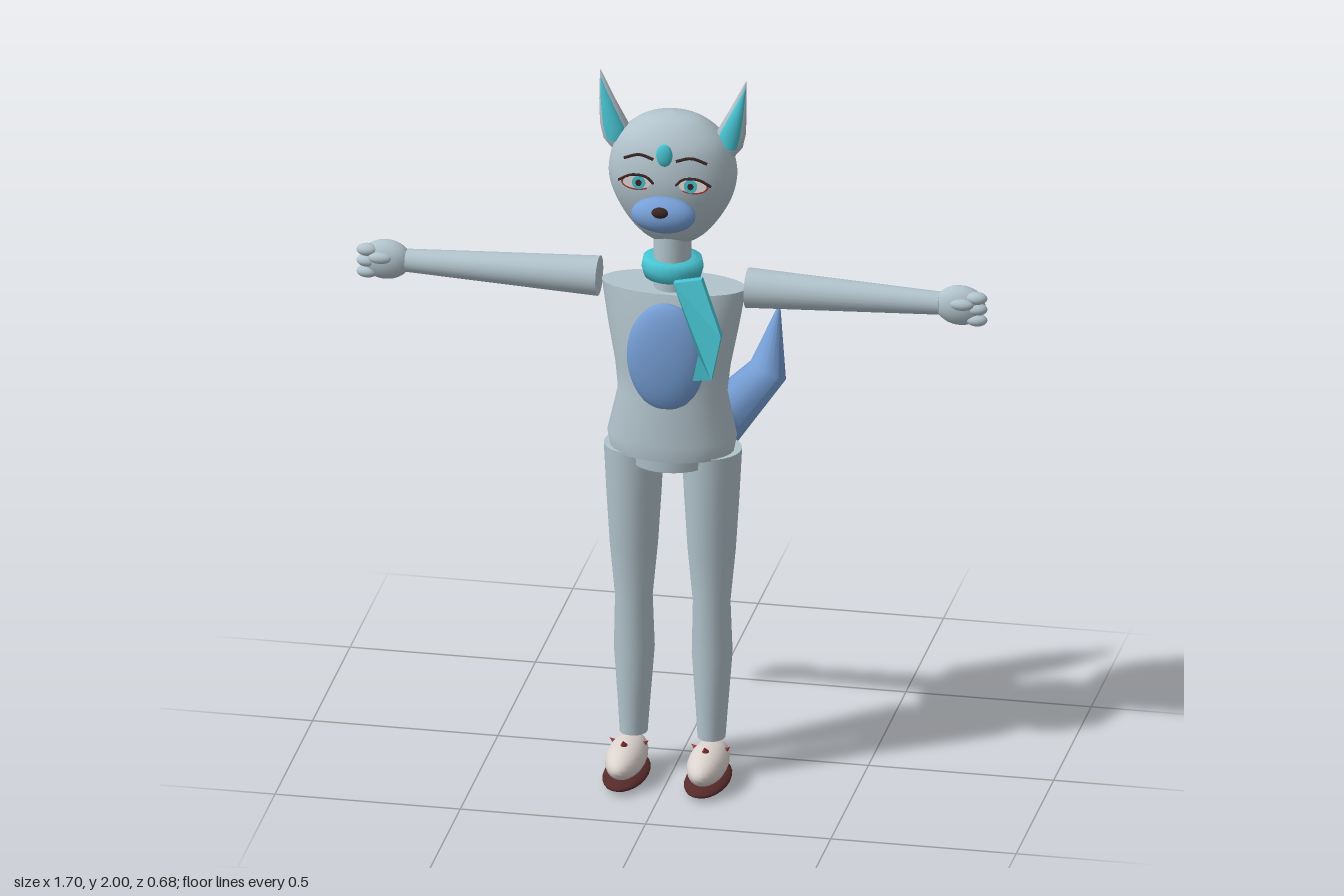
import * as THREE from 'three';

const mat = (name, color) => {
  const m = new THREE.MeshStandardMaterial({ color });
  m.name = name;
  return m;
};

export function createModel() {
  const fur = mat('grey fur', 0xb2c3cc);
  const blue = mat('blue fur', 0x769fd6);
  const teal = mat('teal', 0x48c4d2);
  const cream = mat('shoe cream', 0xdcd3ce);
  const sole = mat('dark sole', 0x562a2a);
  const red = mat('red trim', 0xa03a3a);
  const dark = mat('dark brown', 0x3a2626);
  const white = mat('eye white', 0xeee6e4);

  const model = new THREE.Group();
  model.name = 'standingFox';

  const add = (name, geometry, material, x = 0, y = 0, z = 0, parent = model) => {
    const mesh = new THREE.Mesh(geometry, material);
    mesh.name = name;
    mesh.position.set(x, y, z);
    parent.add(mesh);
    return mesh;
  };
  const ellipsoid = (rx, ry, rz) => new THREE.SphereGeometry(1, 24, 16).scale(rx, ry, rz);
  const disc = (rx, ry, depth = 0.004) =>
    new THREE.CylinderGeometry(1, 1, depth, 24).rotateX(Math.PI / 2).scale(rx, ry, 1);
  const tube = (points, r) => new THREE.TubeGeometry(
    new THREE.CatmullRomCurve3(points.map(p => new THREE.Vector3(...p))), 10, r, 6);

  // Capped body from horizontal ellipses, bottom to top: [x, y, z, rx, rz]
  const loft = (rings, sides = 28) => {
    const n = rings.length - 1;
    const g = new THREE.CylinderGeometry(1, 1, 1, sides, n, false, Math.PI);
    const p = g.attributes.position;
    for (let i = 0; i < p.count; i++) {
      const [x, y, z, rx, rz] = rings[Math.round((p.getY(i) + 0.5) * n)];
      p.setXYZ(i, x + p.getX(i) * rx, y, z + p.getZ(i) * rz);
    }
    g.computeVertexNormals();
    return g;
  };

  // Torso, pelvis and belly patch
  add('torso', loft([
    [0, 0.935, 0.145, 0.165, 0.105], [0, 0.98, 0.145, 0.174, 0.108],
    [0, 1.1, 0.138, 0.147, 0.102], [0, 1.18, 0.134, 0.155, 0.105],
    [0, 1.29, 0.128, 0.176, 0.108], [0, 1.4, 0.122, 0.195, 0.085],
  ]), fur);
  add('pelvis', loft([[0, 0.905, 0.145, 0.112, 0.104], [0, 0.96, 0.145, 0.12, 0.106]]), fur);
  add('bellyPatch', ellipsoid(0.106, 0.154, 0.04), blue, 0, 1.23, 0.228);

  // Neck and egg-shaped head
  add('neck', new THREE.CylinderGeometry(0.05, 0.05, 0.2, 24), fur, 0, 1.47, 0.14);
  const egg = new THREE.SplineCurve([
    [0, 1.525], [0.05, 1.533], [0.095, 1.565], [0.136, 1.62], [0.164, 1.68], [0.172, 1.74],
    [0.155, 1.81], [0.12, 1.855], [0.068, 1.888], [0, 1.9],
  ].map(p => new THREE.Vector2(...p))).getPoints(36);
  egg.forEach(p => { p.x = Math.max(p.x, 0); });
  add('head', new THREE.LatheGeometry(egg, 36).scale(1, 1, 0.67), fur, 0, 0, 0.134);

  // Face
  add('muzzle', ellipsoid(0.087, 0.05, 0.045), blue, 0, 1.655, 0.263);
  add('nose', ellipsoid(0.022, 0.015, 0.014), dark, 0, 1.68, 0.311);
  add('foreheadGem', ellipsoid(0.022, 0.032, 0.011), teal, 0, 1.82, 0.25);

  // Scarf band and hanging end
  const band = [[0.045, -0.027], [0.075, -0.027], [0.083, 0], [0.078, 0.027], [0.045, 0.027]];
  add('scarfBand', new THREE.LatheGeometry(band.map(p => new THREE.Vector2(...p)), 24)
    .scale(1, 1, 0.88), teal, 0, 1.457, 0.14);
  const outline = new THREE.Shape([
    [0.02, 1.445], [0.095, 1.26], [0.08, 1.185], [0.13, 1.19], [0.155, 1.315], [0.095, 1.46],
  ].map(p => new THREE.Vector2(...p)));
  const scarf = new THREE.ExtrudeGeometry(outline, { depth: 0.022, bevelEnabled: false });
  const sp = scarf.attributes.position;
  for (let i = 0; i < sp.count; i++) {
    sp.setZ(i, sp.getZ(i) + 0.245 - Math.max(0, sp.getY(i) - 1.3) * 0.25);
  }
  scarf.computeVertexNormals();
  add('scarfEnd', scarf, teal);

  // Tail: a bent tube whose rings are scaled to taper
  const path = new THREE.CatmullRomCurve3([
    [0, 0.962, 0.09], [0, 0.955, 0.05], [0.015, 0.92, -0.08], [0.06, 0.872, -0.205],
    [0.172, 0.99, -0.287], [0.2, 1.18, -0.3],
  ].map(p => new THREE.Vector3(...p)));
  path.getPointAt = (t, v) => path.getPoint(t, v);
  path.getTangentAt = (t, v) => path.getTangent(t, v);
  const radii = [0, 0.085, 0.08, 0.074, 0.053, 0.001];
  const sides = 16;
  const tail = new THREE.TubeGeometry(path, radii.length - 1, 1, sides);
  const tp = tail.attributes.position;
  for (let i = 0; i < tp.count; i++) {
    const ring = Math.floor(i / (sides + 1));
    const c = path.points[ring];
    const v = new THREE.Vector3().fromBufferAttribute(tp, i).sub(c)
      .multiplyScalar(radii[ring]).add(c);
    tp.setXYZ(i, v.x, v.y, v.z);
  }
  tail.computeVertexNormals();
  add('tail', tail, blue);

  for (const s of [1, -1]) {
    const side = s > 0 ? 'left' : 'right';
    const group = new THREE.Group();
    group.name = side + 'Side';
    model.add(group);
    const part = (name, g, m, x = 0, y = 0, z = 0) =>
      add(side + name, g, m, s * x, y, z, group);

    // Ear with a teal inner face
    part('Ear', loft([
      [s * 0.15, 1.785, 0.135, 0.018, 0.01], [s * 0.152, 1.81, 0.135, 0.036, 0.022],
      [s * 0.157, 1.85, 0.135, 0.04, 0.023], [s * 0.177, 1.92, 0.135, 0.022, 0.014],
      [s * 0.197, 2, 0.13, 0.001, 0.001],
    ], 16), fur);
    part('InnerEar', loft([
      [s * 0.152, 1.81, 0.143, 0.026, 0.019], [s * 0.157, 1.85, 0.143, 0.031, 0.02],
      [s * 0.178, 1.92, 0.14, 0.016, 0.013], [s * 0.195, 1.98, 0.135, 0.001, 0.001],
    ], 16), teal);

    // Eye, lashes and brow
    part('EyeRim', disc(0.043, 0.023), red, 0.075, 1.735, 0.242);
    part('EyeWhite', disc(0.038, 0.018), white, 0.075, 1.735, 0.244);
    part('Iris', disc(0.018, 0.019), teal, 0.07, 1.735, 0.246);
    part('Pupil', disc(0.008, 0.009), dark, 0.07, 1.735, 0.248);
    part('UpperLash', tube([[s * 0.03, 1.735, 0.247], [s * 0.05, 1.754, 0.249],
      [s * 0.09, 1.757, 0.249], [s * 0.125, 1.738, 0.245]], 0.0035), dark);
    part('Brow', tube([[s * 0.03, 1.803, 0.244], [s * 0.07, 1.811, 0.236],
      [s * 0.112, 1.797, 0.232]], 0.004), dark);

    // Arm, hand and curled fingers
    part('Arm', new THREE.CylinderGeometry(0.031, 0.054, 0.52, 24).rotateZ(-s * Math.PI / 2),
      fur, 0.46, 1.406, 0.13);
    part('Hand', ellipsoid(0.068, 0.055, 0.038), fur, 0.775, 1.406, 0.132);
    for (const y of [1.374, 1.405, 1.436]) {
      part('Finger', ellipsoid(0.029, 0.017, 0.02), fur, 0.822, y, 0.148);
    }
    part('Thumb', ellipsoid(0.032, 0.016, 0.016), fur, 0.785, 1.42, 0.162);

    // Leg
    const x = s * 0.105;
    part('Leg', loft([
      [x, 0.11, 0.14, 0.037, 0.04], [x, 0.2, 0.135, 0.043, 0.047], [x, 0.35, 0.131, 0.054, 0.056],
      [x, 0.5, 0.138, 0.05, 0.047], [x, 0.65, 0.137, 0.064, 0.062], [x, 0.8, 0.136, 0.073, 0.075],
      [x, 0.94, 0.135, 0.08, 0.084],
    ]), fur);

    // Shoe with small red spikes
    part('Sole', ellipsoid(0.06, 0.018, 0.131), sole, 0.11, 0.018, 0.21);
    part('Shoe', ellipsoid(0.053, 0.048, 0.124), cream, 0.11, 0.064, 0.208);
    part('ShoeSpikeFront', new THREE.ConeGeometry(0.013, 0.03, 8).rotateX(0.6), red,
      0.11, 0.115, 0.25);
    for (const d of [-1, 1]) {
      part('ShoeSpikeSide', new THREE.ConeGeometry(0.012, 0.028, 8).rotateZ(-s * d * 0.9), red,
        0.11 + d * 0.042, 0.09, 0.175);
    }
  }
  return model;
}
